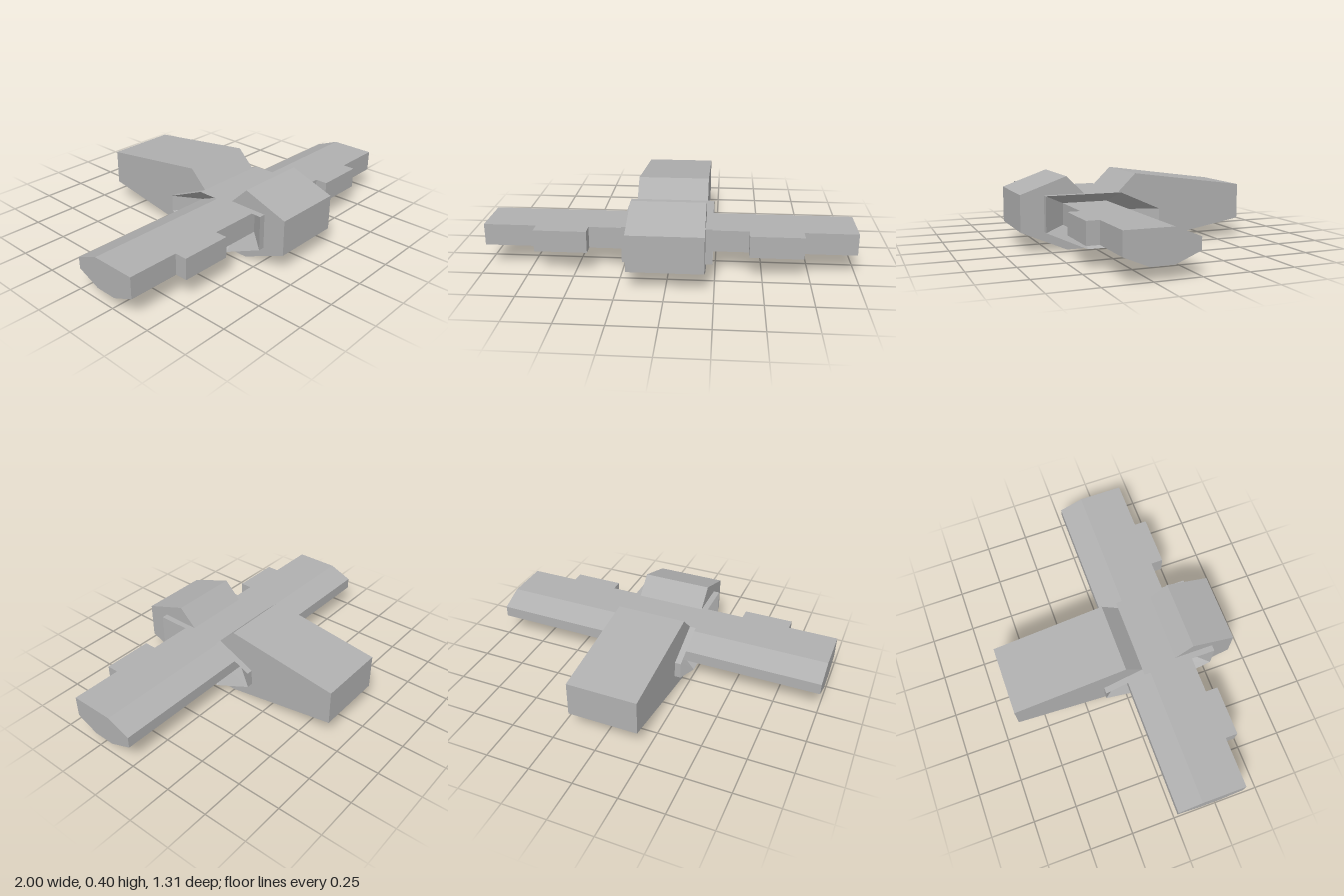
import * as THREE from 'three';

const grey = new THREE.MeshStandardMaterial({ color: 0xb0b0b0 });
grey.name = 'hull grey';

// Side profiles as [z, y]
const NOSE = [[0.655, 0.31], [0.4, 0.4], [0.3, 0.302], [0.525, 0.302], [0.525, 0.105],
  [0.295, 0], [0.4, 0], [0.655, 0.11]];
const TAIL = [[0.1, 0.302], [0, 0.4], [-0.655, 0.31], [-0.655, 0.11], [0, 0], [0.1, 0],
  [-0.13, 0.105], [-0.13, 0.2]];
const COLLAR = [[0.525, 0.302], [0.1, 0.302], [-0.13, 0.2], [-0.13, 0.105], [0.1, 0],
  [0.295, 0], [0.525, 0.105]];
const WING = [[0.4, 0.245], [0.145, 0.245], [0.01, 0.19], [0.01, 0.125], [0.145, 0.07],
  [0.27, 0.07], [0.4, 0.125]];

// Extrude a side profile across x
function prism(profile, x0, x1) {
  const shape = new THREE.Shape(profile.map(([z, y]) => new THREE.Vector2(-z, y)));
  const geo = new THREE.ExtrudeGeometry(shape, { depth: x1 - x0, bevelEnabled: false });
  return geo.rotateY(Math.PI / 2).translate(x0, 0, 0);
}

// Skin a run of matching profiles, each placed at its own x
function loft(rings) {
  const pos = [];
  for (let i = 0; i < rings.length - 1; i++) {
    const n = rings[i].profile.length;
    const at = (r, j) => [rings[r].x, rings[r].profile[j % n][1], rings[r].profile[j % n][0]];
    for (let j = 0; j < n; j++) {
      const a = at(i, j), b = at(i, j + 1), c = at(i + 1, j), d = at(i + 1, j + 1);
      pos.push(...a, ...b, ...c, ...b, ...d, ...c);
    }
  }
  const geo = new THREE.BufferGeometry();
  geo.setAttribute('position', new THREE.Float32BufferAttribute(pos, 3));
  geo.computeVertexNormals();
  return geo;
}

export function createModel() {
  const model = new THREE.Group();
  model.name = 'winged craft';
  const add = (name, geo) => {
    const mesh = new THREE.Mesh(geo, grey);
    mesh.name = name;
    model.add(mesh);
  };
  const root = 0.13, rim = 0.235;

  // Fuselage blocks wrapped around the collar
  add('nose', prism(NOSE, -0.2, 0.2));
  add('tail', prism(TAIL, -0.2, 0.2));

  // Central collar with a funnel sinking to the wing root on each side
  add('wingCollar', loft([
    { x: root, profile: WING }, { x: rim, profile: COLLAR },
    { x: -rim, profile: COLLAR }, { x: -root, profile: WING },
  ]));

  // Wings and the block on each leading edge
  for (const [side, s] of [['left', 1], ['right', -1]]) {
    add(side + 'Wing', s > 0 ? prism(WING, root, 1) : prism(WING, -1, -root));
    add(side + 'WingBlock', new THREE.BoxGeometry(0.285, 0.12, 0.07).translate(s * 0.572, 0.185, 0.435));
  }
  return model;
}
